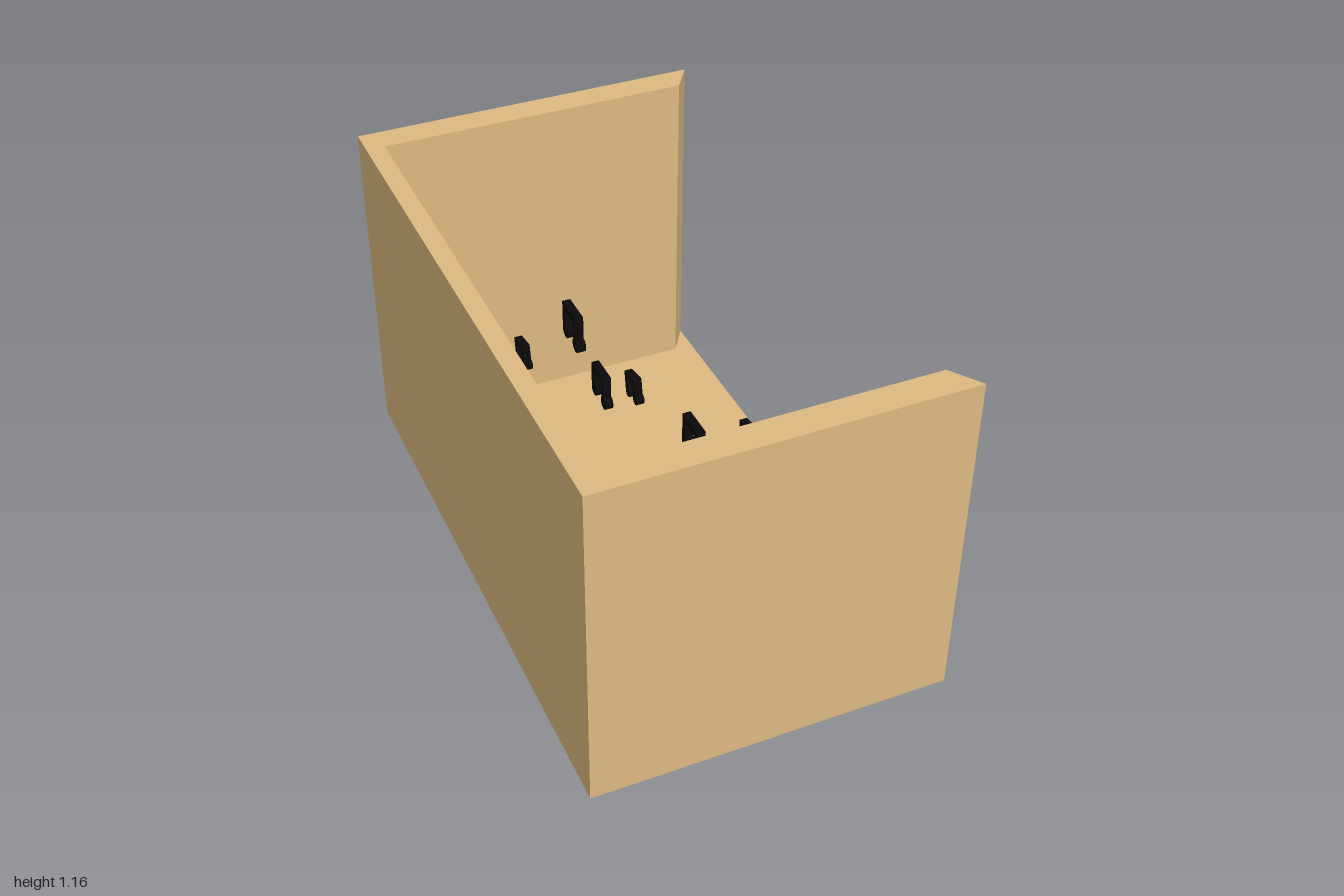
import * as THREE from 'three';

const wood = new THREE.MeshStandardMaterial({ color: 0xdebb82 });
const black = new THREE.MeshStandardMaterial({ color: 0x0a0a0a });

const W = 0.597, D = 1, H = 1.163, FLOOR = 0.03; // half width, half depth, height, floor thickness
const NOTE_DEPTH = 0.027;

function polygon(points) {
  return new THREE.Shape(points.map(([x, y]) => new THREE.Vector2(x, y)));
}

function addMesh(parent, geometry, material, name) {
  const mesh = new THREE.Mesh(geometry, material);
  mesh.name = name;
  parent.add(mesh);
  return mesh;
}

// Pair of beamed notes: a bracket of beam and stems with two round heads
const bracket = new THREE.ExtrudeGeometry(polygon([
  [-0.045, -0.04], [-0.022, -0.04], [-0.022, 0.04], [0.041, 0.04],
  [0.041, -0.037], [0.064, -0.037], [0.064, 0.063], [-0.045, 0.063],
]), { depth: NOTE_DEPTH, bevelEnabled: false }).translate(0, 0, -NOTE_DEPTH / 2);
const head = new THREE.CylinderGeometry(0.024, 0.024, NOTE_DEPTH, 24).rotateX(Math.PI / 2);

function createNote([x, y, z], small) {
  const note = new THREE.Group();
  note.name = small ? 'smallMusicNote' : 'largeMusicNote';
  addMesh(note, bracket, black, 'beamAndStems');
  addMesh(note, head, black, 'noteHead').position.set(-0.041, -0.04, 0);
  addMesh(note, head, black, 'noteHead').position.set(0.041, -0.037, 0);
  note.position.set(x, y, z);
  // Notes face the open side; small ones are tilted
  note.rotation.set(0, Math.PI / 2, small ? -0.17 : 0);
  if (small) note.scale.set(0.72, 0.72, 1);
  return note;
}

export function createModel() {
  const model = new THREE.Group();
  model.name = 'openMusicBox';

  // Floor slab
  addMesh(model, new THREE.BoxGeometry(2 * W, FLOOR, 2 * D), wood, 'floor')
    .position.y = FLOOR / 2;

  // Three walls in one U, with ends cut at an angle on the open side
  const plan = polygon([
    [W, D], [-W, D], [-W, -D], [W, -D],
    [0.53, -0.9], [-0.535, -0.9], [-0.535, 0.9], [0.53, 0.9],
  ]);
  const walls = new THREE.ExtrudeGeometry(plan, { depth: H - FLOOR, bevelEnabled: false });
  walls.rotateX(-Math.PI / 2).translate(0, FLOOR, 0);
  addMesh(model, walls, wood, 'walls');

  // Floating notes
  const large = [[0, 0.713, 0.405], [-0.195, 0.87, -0.083], [0, 0.4, -0.34]];
  const small = [[0.27, 0.523, 0.247], [0, 0.59, -0.059], [-0.235, 0.523, -0.464]];
  large.forEach((p) => model.add(createNote(p, false)));
  small.forEach((p) => model.add(createNote(p, true)));

  return model;
}
